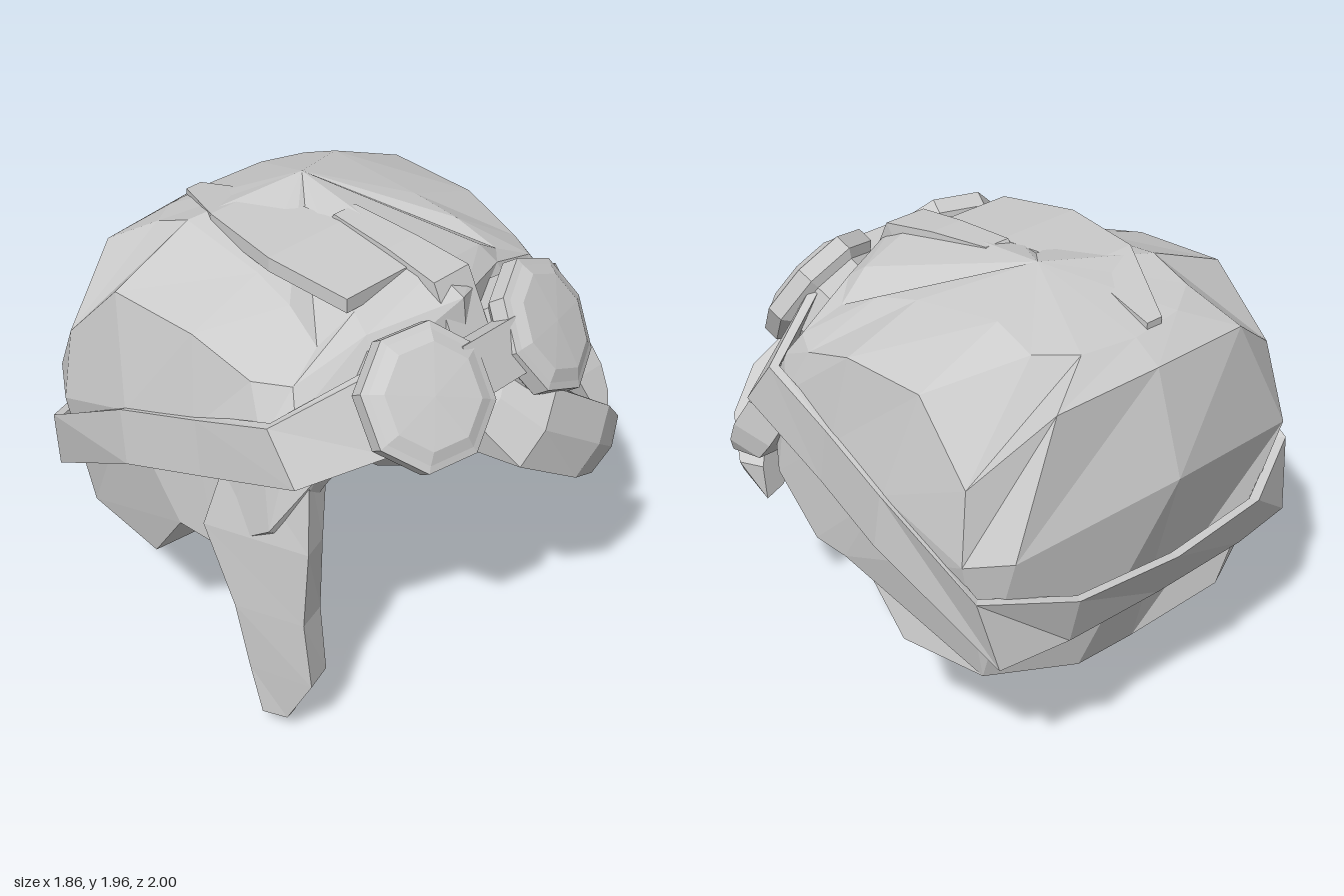
import * as THREE from 'three';

const material = new THREE.MeshStandardMaterial({ color: 0xcccccc, flatShading: true, roughness: 0.8 });
const V = (x, y, z) => new THREE.Vector3(x, y, z);

// Closed faceted solid through rings of equal point count; ends close on a tip or on their centre.
function loft(name, rings, startTip, endTip) {
  const tris = [];
  const n = rings[0].length;
  const centre = (r) => r.reduce((s, p) => s.add(p), V(0, 0, 0)).divideScalar(n);
  const first = rings[0], last = rings[rings.length - 1];
  const a = startTip || centre(first), b = endTip || centre(last);
  for (let j = 0; j < n; j++) {
    const k = (j + 1) % n;
    tris.push([a, first[k], first[j]], [b, last[j], last[k]]);
    for (let i = 0; i + 1 < rings.length; i++) {
      const r = rings[i], s = rings[i + 1];
      tris.push([r[j], r[k], s[k]], [r[j], s[k], s[j]]);
    }
  }
  // Turn the faces outward, whichever way the rings run
  const volume = tris.reduce((v, t) => v + t[0].dot(t[1].clone().cross(t[2])), 0);
  const pos = [];
  for (const t of tris) for (const p of volume < 0 ? [t[0], t[2], t[1]] : t) pos.push(p.x, p.y, p.z);
  const g = new THREE.BufferGeometry();
  g.setAttribute('position', new THREE.Float32BufferAttribute(pos, 3));
  g.computeVertexNormals();
  const mesh = new THREE.Mesh(g, material);
  mesh.name = name;
  return mesh;
}

// Half loop from front centre to back centre, completed on the other side
function mirrorLoop(half) {
  const pts = half.map((p) => V(...p));
  return pts.concat(pts.slice(1, -1).reverse().map((p) => V(-p.x, p.y, p.z)));
}

// Four-corner section around a point, with half width w and half depth d
function section([x, y, z, w, d], across, out) {
  const c = V(x, y, z);
  return [[1, 1], [-1, 1], [-1, -1], [1, -1]].map(([i, j]) =>
    c.clone().addScaledVector(across, i * w).addScaledVector(out, j * d));
}

function hairCap() {
  const rim = [[0, 1.36, .6], [.38, 1.34, .56], [.66, 1.2, .55], [.74, .95, .44], [.77, .76, .16],
    [.78, .79, 0], [.8, .54, -.28], [.42, .42, -.37], [0, .31, -.44]];
  const low = [[0, 1.48, .66], [.4, 1.45, .6], [.74, 1.28, .58], [.84, 1.02, .43], [.87, .84, .16],
    [.88, .85, -.03], [.76, .57, -.7], [.4, .53, -.86], [0, .42, -.77]];
  const wide = [[0, 1.62, .67], [.4, 1.6, .57], [.74, 1.5, .48], [.82, 1.4, .38], [.86, 1.33, .05],
    [.9, 1.27, -.3], [.87, 1.13, -.71], [.75, 1.17, -.87], [0, 1.27, -.985]];
  const upper = [[0, 1.78, .65], [.38, 1.72, .5], [.69, 1.6, .42], [.77, 1.6, .28], [.8, 1.7, 0],
    [.81, 1.72, -.42], [.83, 1.44, -.69], [.5, 1.68, -.82], [0, 1.7, -.85]];
  const crown = [[0, 1.85, .5], [.36, 1.78, .42], [.52, 1.68, .38], [.48, 1.77, .2], [.45, 1.82, 0],
    [.42, 1.88, -.42], [.42, 1.81, -.6], [.26, 1.79, -.7], [0, 1.78, -.73]];
  return loft('hairCap', [rim, low, wide, upper, crown].map(mirrorLoop), V(.05, 1.03, .1), V(.08, 1.96, -.28));
}

// Strap running round the head between the goggles: top and bottom edge at each station
function strap() {
  const half = [
    [[.45, 1.66, .62], [.5, 1.36, .74]], [[.83, 1.5, .43], [.84, 1.3, .58]], [[.85, 1.38, .07], [.86, 1.14, .1]],
    [[.9, 1.28, -.3], [.91, 1.04, -.27]], [[.86, 1.01, -.78], [.8, .71, -.84]],
    [[.5, .94, -.95], [.48, .71, -.88]], [[0, .92, -.98], [0, .7, -.88]],
  ];
  const flip = ([x, y, z]) => [-x, y, z];
  const path = [...half, ...half.slice(0, -1).reverse().map((edges) => edges.map(flip))];
  return loft('strap', path.map(([top, bottom]) => {
    const t = V(...top), b = V(...bottom);
    const out = V(t.x, 0, t.z).normalize().multiplyScalar(.02);
    return [t.clone().add(out), b.clone().add(out), b.clone().sub(out), t.clone().sub(out)];
  }));
}

// Eight-sided cup with a flat rim and a bevelled, slightly raised lens
function goggle(name, side, depth, x, y, z) {
  const profile = [[0, -depth], [.24, -depth], [.25, -.1], [.285, -.07], [.285, 0], [.255, .01], [.205, .035], [0, .045]]
    .map(([r, h]) => new THREE.Vector2(r, h));
  const mesh = new THREE.Mesh(new THREE.LatheGeometry(profile, 8).rotateY(.2), material);
  mesh.name = name;
  mesh.quaternion.setFromUnitVectors(V(0, 1, 0), V(side * .22, .54, .81).normalize());
  mesh.position.set(x, y, z);
  return mesh;
}

export function createModel() {
  const model = new THREE.Group();
  model.name = 'hairWithGoggles';
  model.add(hairCap(), strap());

  // Goggles and the bridge between them
  model.add(goggle('rightGoggle', -1, .42, -.36, 1.57, .8), goggle('leftGoggle', 1, .27, .34, 1.58, .8));
  const bridge = new THREE.Mesh(new THREE.BoxGeometry(.34, .22, .09), material);
  bridge.name = 'goggleBridge';
  bridge.position.set(0, 1.58, .8);
  bridge.rotation.x = -.45;
  model.add(bridge);

  // Long lock at the right temple: y, outer / front / inner x, back and front z
  model.add(loft('longLock', [
    [1.33, -.82, -.74, -.6, .1, .55], [.95, -.91, -.78, -.66, .02, .58], [.6, -.88, -.79, -.655, .15, .56],
    [.3, -.855, -.78, -.655, .2, .59], [.08, -.84, -.8, -.68, .25, .47],
  ].map(([y, outer, front, inner, z0, z1]) =>
    [V(inner, y, z0), V(outer, y, z0 + .12), V(front, y, z1), V(inner, y, z1 - .04)]), null, V(-.69, .005, .4)));

  // Short lock at the left temple
  const depthwise = V(0, 0, 1), sideways = V(1, 0, 0);
  model.add(loft('shortLock', [
    [.75, 1.26, .5, .08, .12], [.77, 1.12, .59, .08, .12], [.78, 1.02, .66, .06, .1],
  ].map((s) => section(s, sideways, depthwise)), null, V(.8, .94, .8)));

  // Swept fringe strand curling over the brow, with a ridge down its middle
  const across = V(.6, .8, 0), out = V(.3, -.1, .95).normalize();
  model.add(loft('fringeStrand', [
    [.02, 1.38, .68, .13, .1], [.12, 1.25, .82, .17, .11], [.42, 1.06, .88, .16, .1],
    [.6, .93, .83, .13, .09], [.73, .83, .71, .08, .06],
  ].map((s) => {
    const [p, q, r, t] = section(s, across, out);
    const ridge = p.clone().lerp(q, .5).addScaledVector(out, .03);
    return [p, ridge, q, r, t];
  }), V(-.02, 1.44, .6), V(.75, .74, .65)));

  // Layered locks lying on the crown and behind the bridge
  const up = V(0, 1, 0);
  model.add(loft('crownLock', [
    [-.11, 1.79, -.72, .04, .02], [-.22, 1.88, -.35, .14, .03], [-.24, 1.87, .05, .2, .03], [-.2, 1.82, .42, .2, .03],
  ].map((s) => section(s, sideways, up))));
  model.add(loft('frontLock', [
    [.02, 1.9, 0, .06, .02], [.02, 1.87, .3, .08, .02], [.02, 1.82, .55, .1, .03], [.01, 1.6, .67, .1, .03],
  ].map((s) => section(s, sideways, V(0, .8, .6)))));
  return model;
}
